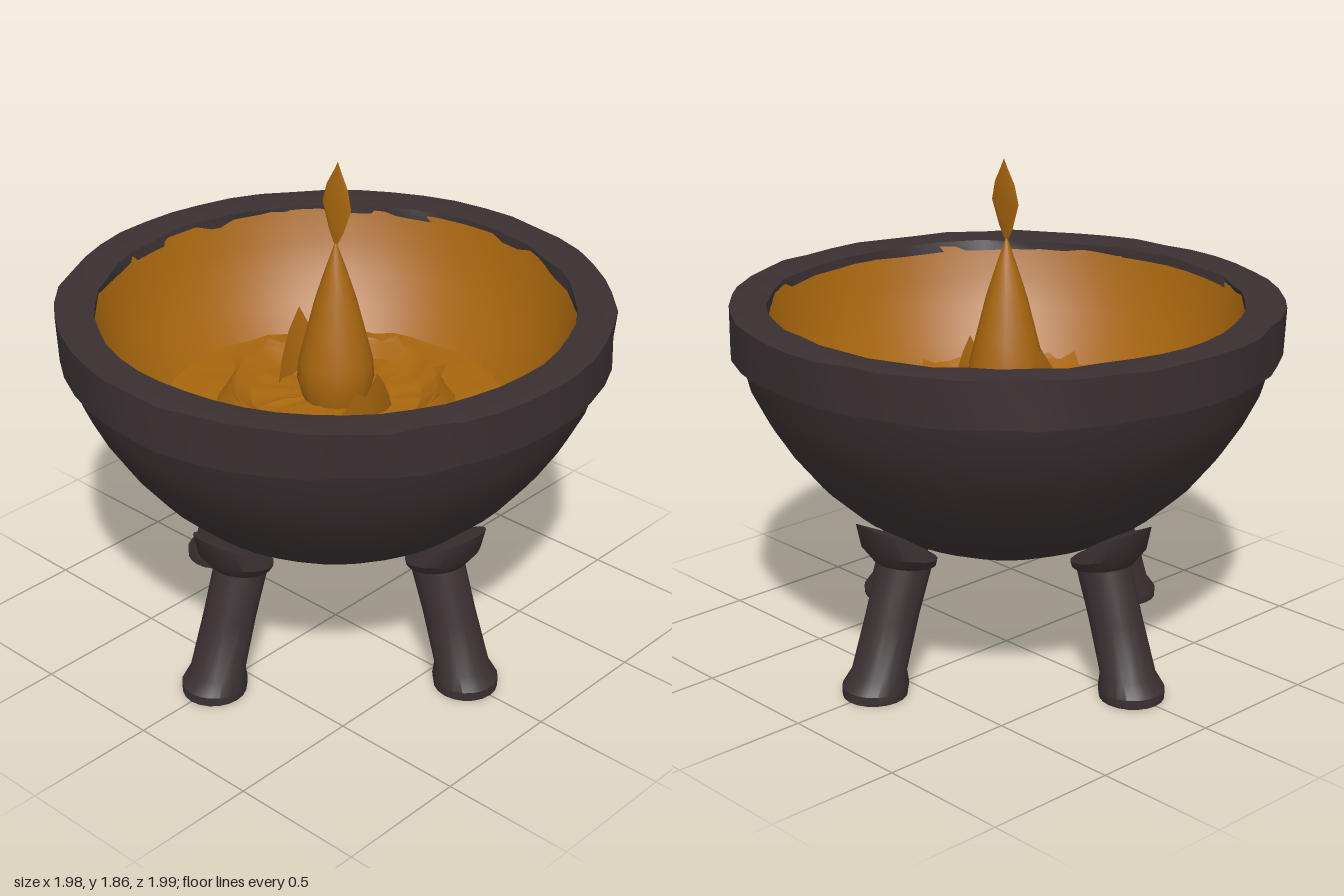
import * as THREE from 'three';
import { toCreasedNormals } from 'three/addons/utils/BufferGeometryUtils.js';

const iron = new THREE.MeshStandardMaterial({ color: 0x3a3032 });
iron.name = 'dark iron';
const amber = new THREE.MeshStandardMaterial({ color: 0xa8660e, side: THREE.DoubleSide });
amber.name = 'amber liquid';

// Repeatable noise in -1..1
function makeNoise(seed) {
  return () => {
    seed = (seed * 16807) % 2147483647;
    return (seed / 2147483647) * 2 - 1;
  };
}

function mesh(name, geometry, material, crease = 0.6) {
  const m = new THREE.Mesh(toCreasedNormals(geometry, crease), material);
  m.name = name;
  return m;
}

function lathe(profile, segments = 48) {
  return new THREE.LatheGeometry(profile.map(([r, y]) => new THREE.Vector2(r, y)), segments);
}

// Roughen a lathe's radius and height, with the seam kept closed
function roughen(geometry, rows, amount, seed) {
  const p = geometry.attributes.position, noise = makeNoise(seed);
  const columns = p.count / rows;
  for (let i = 0; i < p.count; i++) {
    if (i >= (columns - 1) * rows) {
      const k = i - (columns - 1) * rows;
      p.setXYZ(i, p.getX(k), p.getY(k), p.getZ(k));
      continue;
    }
    const s = 1 + noise() * amount;
    p.setXYZ(i, p.getX(i) * s, p.getY(i) + noise() * amount * 0.6, p.getZ(i) * s);
  }
  return geometry;
}

// Skin over tilted oval rings: [inner x, inner y, outer x, outer y, half width in z]
function loft(rings, n = 20) {
  const pos = [], index = [];
  rings.forEach(([x0, y0, x1, y1, w]) => {
    for (let j = 0; j < n; j++) {
      const a = (j / n) * Math.PI * 2, t = (1 + Math.cos(a)) / 2;
      pos.push(x0 + (x1 - x0) * t, y0 + (y1 - y0) * t, w * Math.sin(a));
    }
  });
  for (let i = 0; i < rings.length - 1; i++) {
    for (let j = 0; j < n; j++) {
      const a = i * n + j, b = i * n + (j + 1) % n, c = a + n, d = b + n;
      index.push(a, c, b, b, c, d);
    }
  }
  const g = new THREE.BufferGeometry();
  g.setAttribute('position', new THREE.Float32BufferAttribute(pos, 3));
  g.setIndex(index);
  return g;
}

// Standing splash wall: one triangle-topped strip along an arc
function splash(radius, start, sweep, base, heights, lean) {
  const pos = [], index = [], n = heights.length;
  heights.forEach((h, i) => {
    const a = start + (sweep * i) / (n - 1);
    const r = radius + lean * h;
    pos.push(Math.cos(a) * radius, base, Math.sin(a) * radius);
    pos.push(Math.cos(a) * r, base + h, Math.sin(a) * r);
    if (i < n - 1) index.push(2 * i, 2 * i + 1, 2 * i + 2, 2 * i + 1, 2 * i + 3, 2 * i + 2);
  });
  const g = new THREE.BufferGeometry();
  g.setAttribute('position', new THREE.Float32BufferAttribute(pos, 3));
  g.setIndex(index);
  return g;
}

export function createModel() {
  const model = new THREE.Group();
  model.name = 'cauldron';

  // Round outer shell
  model.add(mesh('bowl', lathe([
    [0, 0.42], [0.15, 0.43], [0.3, 0.465], [0.45, 0.53], [0.58, 0.615], [0.7, 0.725],
    [0.8, 0.85], [0.87, 0.96], [0.925, 1.07], [0.96, 1.2],
  ]), iron, 1));

  // Thick hammered rim
  const rimProfile = [[0.94, 1.19], [0.985, 1.19], [0.992, 1.36], [0.925, 1.365], [0.855, 1.355], [0.85, 1.32]];
  model.add(mesh('rim', roughen(lathe(rimProfile), rimProfile.length, 0.008, 17), iron, 0.5));

  // Glowing inner wall
  model.add(mesh('innerWall', lathe([
    [0.855, 1.34], [0.82, 1.22], [0.77, 1.11], [0.7, 1.0], [0.62, 0.9],
  ]), amber, 1));

  // Liquid with a raised ripple
  const liquidProfile = [[0.65, 0.92], [0.55, 0.925], [0.44, 0.93], [0.37, 1.03], [0.31, 0.985], [0.2, 0.98], [0, 0.98]];
  model.add(mesh('liquid', roughen(lathe(liquidProfile), liquidProfile.length, 0.012, 5), amber, 0.5));

  // Small jagged crests on the ripple
  const noise = makeNoise(91);
  const crest = Array.from({ length: 49 }, (_, i) => (i % 2 ? 0.025 + 0.02 * noise() : 0.004));
  crest[48] = crest[0];
  model.add(mesh('rippleCrest', splash(0.37, 0, Math.PI * 2, 1.02, crest, 0.9), amber));

  // Curved splash blades around the drop
  [[2.7, 1.6, 0.26], [-0.35, 1.2, 0.19]].forEach(([start, sweep, top], i) => {
    const shape = [0, 0.35, 0.7, 1, 0.55, 0.65, 0.3, 0];
    model.add(mesh('splashBlade' + (i + 1),
      splash(0.22, start, sweep, 0.97, shape.map((h) => h * top), 0.1), amber));
  });

  // Rising drop, narrowing to a neck
  model.add(mesh('risingDrop', lathe([
    [0.12, 0.97], [0.14, 1.05], [0.135, 1.12], [0.11, 1.22], [0.075, 1.36], [0.04, 1.47], [0.004, 1.575],
  ], 16), amber, 1));

  // Flat leaping droplet, leaning slightly back
  const outline = [[0.002, 1.56], [0.035, 1.62], [0.068, 1.71], [0.05, 1.78], [0.015, 1.84], [0, 1.87]];
  const droplet = lathe(outline, 8);
  const dp = droplet.attributes.position;
  for (let i = 0; i < dp.count; i++) {
    const t = (dp.getY(i) - 1.56) / 0.31;
    dp.setX(i, dp.getX(i) - 0.012 * t);
    dp.setZ(i, dp.getZ(i) * 0.15 - 0.024 * t);
  }
  model.add(mesh('droplet', droplet, amber, 0.7));

  // Four splayed legs, each with a socket against the bowl
  for (let i = 0; i < 4; i++) {
    const leg = new THREE.Group();
    leg.name = 'leg' + (i + 1);
    leg.rotation.y = (i * Math.PI) / 2;
    leg.add(mesh('legPost', loft([
      [0.65, 0.015, 0.65, 0.015, 0],
      [0.53, 0.015, 0.765, 0.015, 0.115],
      [0.525, 0.05, 0.765, 0.05, 0.12],
      [0.53, 0.1, 0.725, 0.1, 0.102],
      [0.46, 0.3, 0.66, 0.3, 0.094],
      [0.39, 0.48, 0.595, 0.51, 0.094],
    ]), iron));
    leg.add(mesh('legSocket', loft([
      [0.5, 0.49, 0.5, 0.49, 0],
      [0.385, 0.465, 0.61, 0.495, 0.11],
      [0.39, 0.49, 0.655, 0.555, 0.138],
      [0.42, 0.51, 0.685, 0.66, 0.125],
      [0.55, 0.6, 0.55, 0.6, 0],
    ]), iron));
    model.add(leg);
  }
  return model;
}
